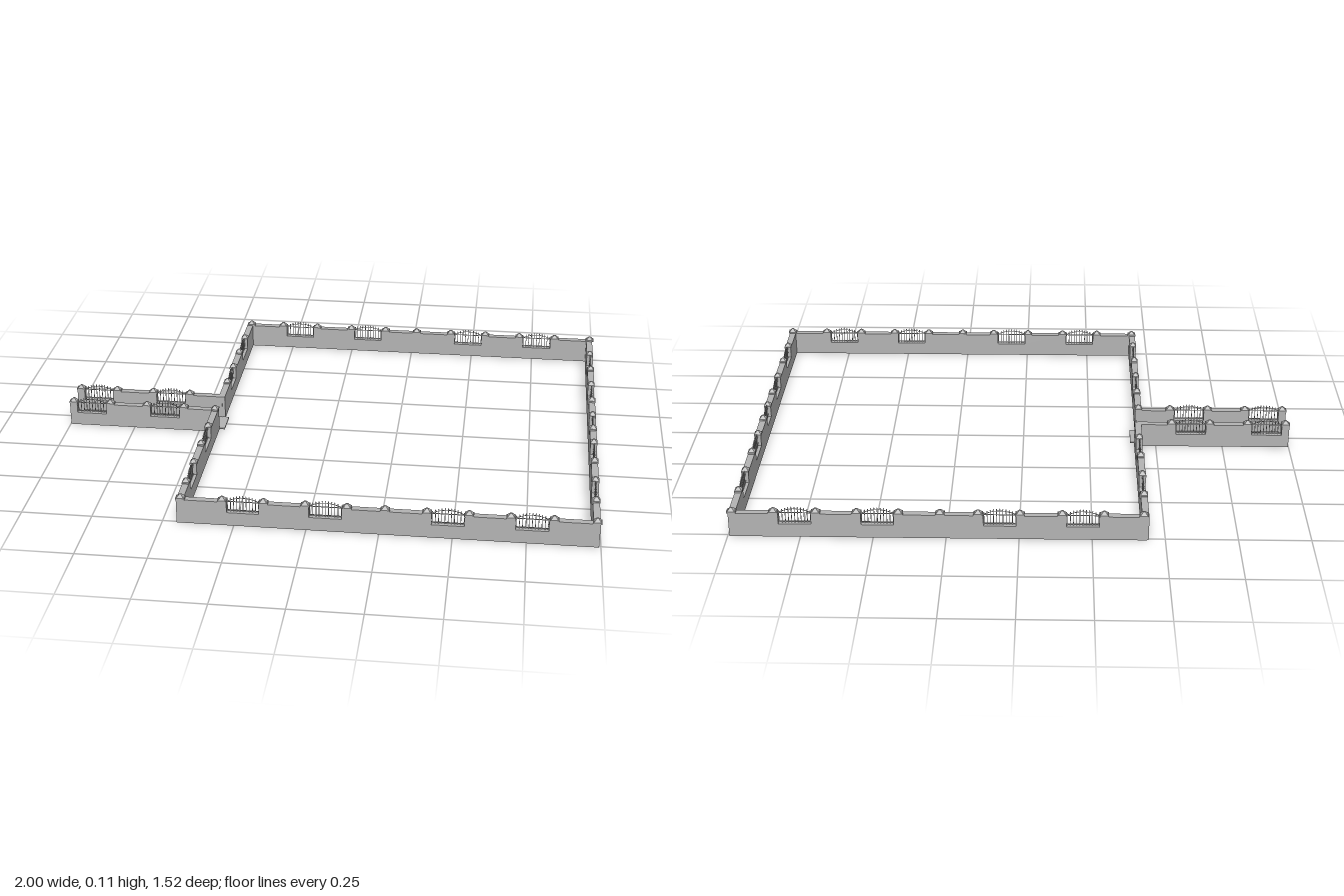
import * as THREE from 'three';
import { mergeGeometries } from 'three/addons/utils/BufferGeometryUtils.js';

const WALL_H = 0.09, SILL = 0.05, THICK = 0.024;

export function createModel() {
  const stone = new THREE.MeshStandardMaterial({ color: 0xb4b4b4 });
  stone.name = 'greyStone';
  const model = new THREE.Group();
  model.name = 'walledCompound';

  const add = (parent, name, geometry) => {
    const mesh = new THREE.Mesh(geometry, stone);
    mesh.name = name;
    parent.add(mesh);
  };
  const box = (w, h, d, x, y, z) => new THREE.BoxGeometry(w, h, d).translate(x, y, z);

  // Wall body: a long slab with a notch cut down to the sill at each window
  function wallBody(start, end, windows, width) {
    const s = new THREE.Shape();
    s.moveTo(start, 0);
    s.lineTo(end, 0);
    s.lineTo(end, WALL_H);
    for (const [c, w = width] of [...windows].reverse()) {
      s.lineTo(c + w / 2, WALL_H);
      s.lineTo(c + w / 2, SILL);
      s.lineTo(c - w / 2, SILL);
      s.lineTo(c - w / 2, WALL_H);
    }
    s.lineTo(start, WALL_H);
    return new THREE.ExtrudeGeometry(s, { depth: THICK, bevelEnabled: false })
      .translate(0, 0, -THICK / 2);
  }

  // Pillar cap: a thin plate under a low pyramid
  function cap(u) {
    const top = new THREE.CylinderGeometry(0.004, 0.018, 0.012, 4, 1).rotateY(Math.PI / 4)
      .translate(u, 0.101, 0).toNonIndexed();
    top.computeVertexNormals();
    return [box(0.032, 0.006, 0.026, u, 0.092, 0).toNonIndexed(), top];
  }

  // Window grille: upright bars rising in a shallow arch, with cross rails
  function grille(c, w) {
    const parts = [];
    const n = Math.round(w / 0.011);
    for (let i = 0; i <= n; i++) {
      const t = (i / n) * 2 - 1;
      const top = 0.109 - 0.014 * t * t;
      const u = c + t * (w / 2 - 0.002);
      parts.push(box(0.0022, top - SILL, 0.0022, u, (top + SILL) / 2, 0));
      parts.push(new THREE.ConeGeometry(0.0025, 0.005, 4).translate(u, top + 0.001, 0));
    }
    for (const y of [0.054, 0.088]) parts.push(box(w, 0.002, 0.003, c, y, 0));
    // Curved rail that follows the arch
    const arch = new THREE.QuadraticBezierCurve3(
      new THREE.Vector3(c - w / 2, 0.089, 0),
      new THREE.Vector3(c, 0.117, 0),
      new THREE.Vector3(c + w / 2, 0.089, 0));
    parts.push(new THREE.TubeGeometry(arch, 12, 0.0013, 5));
    return parts;
  }

  // One wall run; caps and windows are placed along its length
  function wall({ name, start, end, at, alongZ, caps, windows, width = 0.112 }) {
    const g = new THREE.Group();
    g.name = name;
    add(g, name + 'Body', wallBody(start, end, windows, width));
    add(g, name + 'Caps', mergeGeometries(caps.flatMap(cap)));
    add(g, name + 'Grilles', mergeGeometries(windows.flatMap(([c, w = width]) => grille(c, w))));
    if (alongZ) {
      g.rotation.y = -Math.PI / 2;
      g.position.x = at;
    } else g.position.z = at;
    model.add(g);
  }

  // Long front and back walls
  const longCaps = [-0.29, -0.147, -0.003, 0.14, 0.27, 0.412, 0.555, 0.695, 0.84, 0.983];
  const longWindows = [[-0.218], [0.066], [0.484], [0.767]];
  wall({ name: 'frontWall', start: -0.449, end: 0.992, at: 0.744,
    caps: [-0.435, ...longCaps], windows: longWindows });
  wall({ name: 'backWall', start: -0.437, end: 0.994, at: -0.747,
    caps: [-0.425, ...longCaps], windows: longWindows });

  // Left-hand side wall, unbroken
  wall({ name: 'farSideWall', start: -0.757, end: 0.755, at: 0.982, alongZ: true,
    caps: [-0.603, -0.46, -0.32, -0.18, -0.055, 0.056, 0.17, 0.312, 0.455, 0.597],
    windows: [[-0.53], [-0.25], [0.004, 0.082], [0.241], [0.526]] });

  // Gate side wall, in two runs either side of the entrance
  wall({ name: 'gateWallBack', start: -0.757, end: -0.05, at: -0.431, alongZ: true,
    caps: [-0.603, -0.46, -0.32, -0.18], windows: [[-0.532], [-0.25]] });
  wall({ name: 'gateWallFront', start: 0.046, end: 0.755, at: -0.437, alongZ: true,
    caps: [0.06, 0.203, 0.345, 0.487, 0.63], windows: [[0.274], [0.558]] });

  // Entrance passage walls
  for (const [name, z] of [['passageWallBack', -0.06], ['passageWallFront', 0.056]]) {
    wall({ name, start: -0.998, end: -0.43, at: z,
      caps: [-0.984, -0.842, -0.7, -0.557], windows: [[-0.914], [-0.63]] });
  }

  // Passage floor
  add(model, 'passageFloor', box(0.57, 0.005, 0.096, -0.69, 0.0025, -0.002));

  return model;
}
